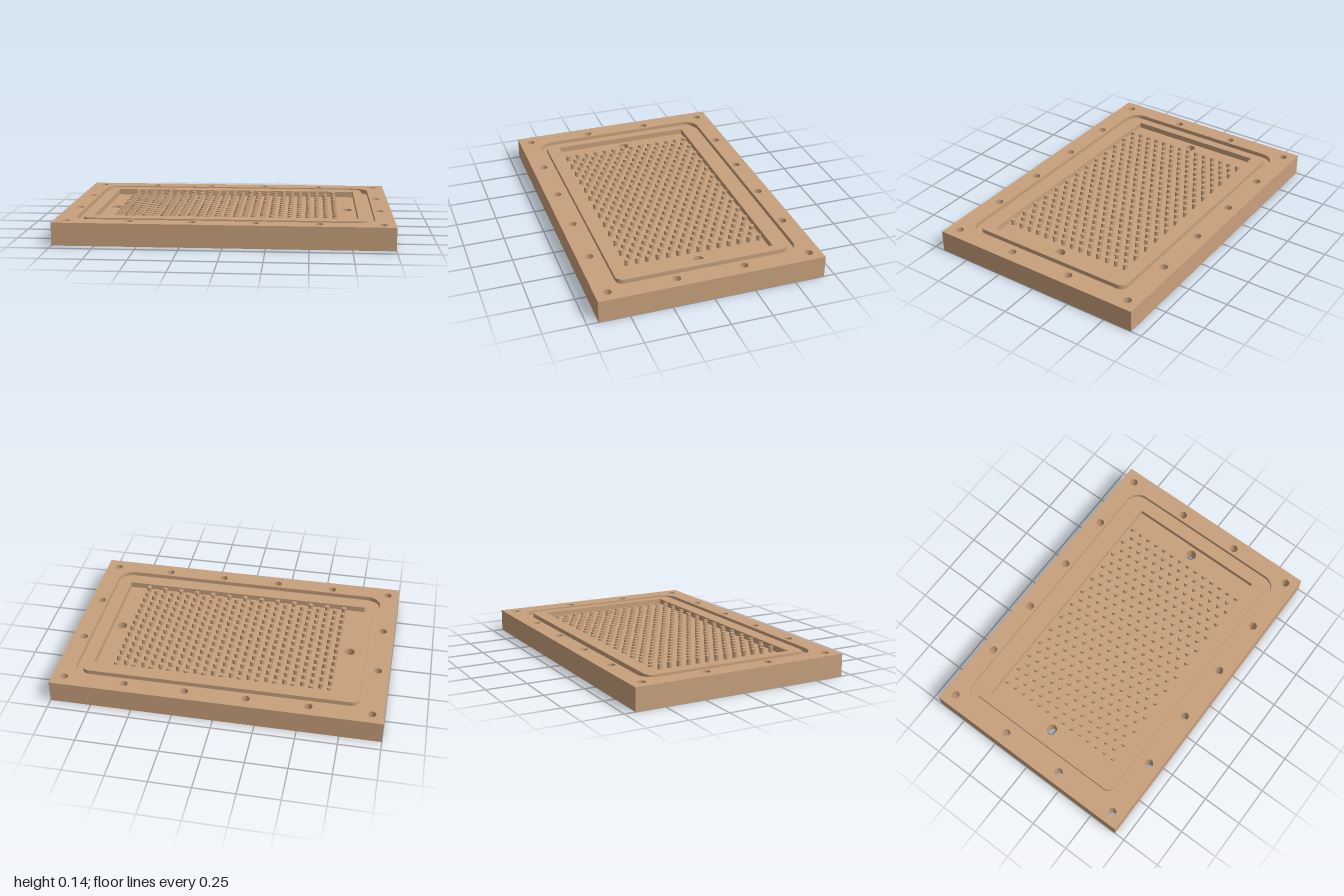
import * as THREE from 'three';
import { mergeGeometries, toCreasedNormals } from 'three/addons/utils/BufferGeometryUtils.js';

const HEIGHT = 0.137, POCKET_Y = 0.101, GROOVE_Y = 0.11;

// Outlines are counter-clockwise point lists in plan
function circle(x, z, r, n = 24) {
  return Array.from({ length: n }, (_, i) => {
    const a = (i / n) * Math.PI * 2;
    return new THREE.Vector2(x + r * Math.cos(a), z + r * Math.sin(a));
  });
}

function rect(hx, hz, r = 0) {
  const corners = [[1, 1], [-1, 1], [-1, -1], [1, -1]];
  const points = [];
  corners.forEach(([sx, sz], k) => {
    const n = r ? 8 : 0;
    for (let i = 0; i <= n; i++) {
      const a = (k + (n ? i / n : 0)) * Math.PI / 2;
      points.push(new THREE.Vector2(sx * (hx - r) + r * Math.cos(a), sz * (hz - r) + r * Math.sin(a)));
    }
  });
  return points;
}

// Flat horizontal face with holes
function face(outline, holes, y, up = true) {
  const shape = new THREE.Shape(outline);
  shape.holes = holes.map((h) => new THREE.Path(h));
  const g = new THREE.ShapeGeometry(shape).toNonIndexed();
  g.deleteAttribute('uv');
  return g.rotateX(up ? -Math.PI / 2 : Math.PI / 2).translate(0, y, 0);
}

// Vertical wall along an outline, facing out of it or into it
function wall(outline, y0, y1, outward) {
  const pts = outward ? outline : [...outline].reverse();
  const pos = [];
  pts.forEach((a, i) => {
    const b = pts[(i + 1) % pts.length];
    pos.push(a.x, y0, -a.y, b.x, y0, -b.y, b.x, y1, -b.y);
    pos.push(a.x, y0, -a.y, b.x, y1, -b.y, a.x, y1, -a.y);
  });
  const g = new THREE.BufferGeometry();
  g.setAttribute('position', new THREE.Float32BufferAttribute(pos, 3));
  g.computeVertexNormals();
  return toCreasedNormals(g, 0.6);
}

export function createModel() {
  const group = new THREE.Group();
  const copper = new THREE.MeshStandardMaterial({ color: 0xc8a07c });
  copper.name = 'copper';
  const add = (name, parts) => {
    const mesh = new THREE.Mesh(mergeGeometries(parts), copper);
    mesh.name = name;
    group.add(mesh);
  };

  const edge = rect(1, 0.683);
  const grooveOuter = rect(0.887, 0.568, 0.09);
  const grooveInner = rect(0.844, 0.527, 0.045);
  const pocket = rect(0.79, 0.441);

  // Bolt holes around the rim, and the two flow ports
  const bolts = [];
  for (const s of [-1, 1]) {
    for (let i = 0; i < 6; i++) bolts.push(circle(-0.927 + i * 0.3708, s * 0.609, 0.025));
    for (const z of [-0.203, 0.203]) bolts.push(circle(s * 0.927, z, 0.025));
  }
  const ports = [-0.737, 0.737].map((x) => circle(x, 0, 0.033));

  add('plateSides', [wall(edge, 0, HEIGHT, true)]);
  add('plateUnderside', [face(edge, [...bolts, ...ports], 0, false)]);
  add('boltRim', [face(edge, [grooveOuter, ...bolts], HEIGHT)]);
  add('boltHoles', bolts.map((b) => wall(b, 0, HEIGHT, false)));
  add('sealGroove', [
    wall(grooveOuter, GROOVE_Y, HEIGHT, false),
    face(grooveOuter, [grooveInner], GROOVE_Y),
    wall(grooveInner, GROOVE_Y, HEIGHT, true),
  ]);
  add('innerRim', [face(grooveInner, [pocket], HEIGHT)]);
  add('pocket', [wall(pocket, POCKET_Y, HEIGHT, false), face(pocket, ports, POCKET_Y)]);
  add('flowPorts', ports.map((p) => wall(p, 0, POCKET_Y, false)));

  // Staggered field of cooling pins
  const pins = [];
  for (let col = 0; col < 25; col++) {
    const rows = col % 2 ? 13 : 14;
    for (let row = 0; row < rows; row++) {
      const pin = circle((col - 12) * 0.0547, (row - (rows - 1) / 2) * 0.0634, 0.0142, 16);
      pins.push(wall(pin, POCKET_Y, HEIGHT, true), face(pin, [], HEIGHT));
    }
  }
  add('coolingPins', pins);
  return group;
}
